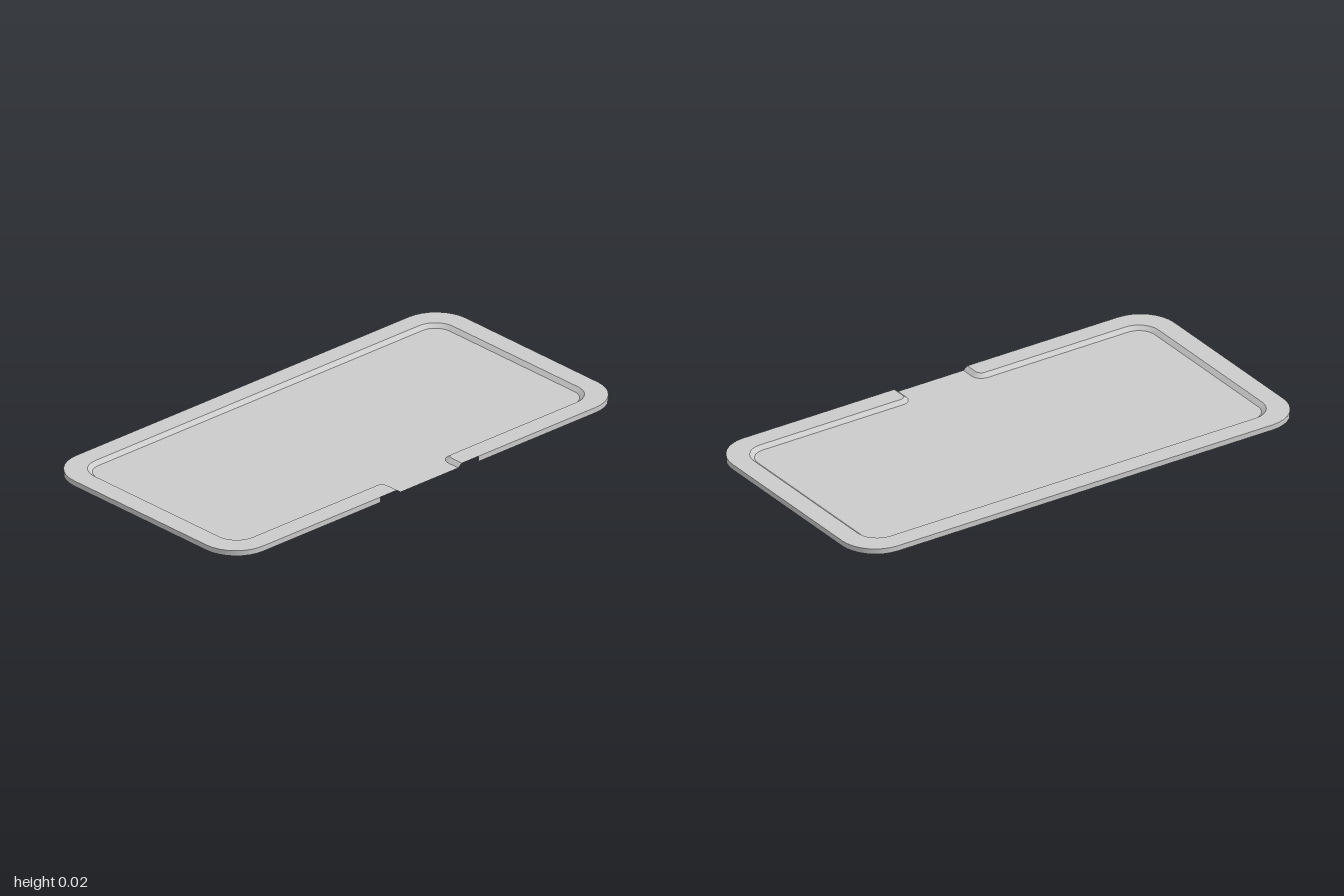
import * as THREE from 'three';

const W = 0.515, L = 1;            // half width and half length of the tray
const TOP = 0.022, FLOOR = 0.008;  // heights of rim and recessed floor
const material = new THREE.MeshStandardMaterial({ color: 0xcccccc, side: THREE.DoubleSide });

// Rounds the corners [x, y, radius] of an open path; every corner gives 9 points
function roundedPath(corners) {
  const points = [];
  corners.forEach(([x, y, r], i) => {
    const p = new THREE.Vector2(x, y);
    if (!r) return points.push(p);
    const toward = ([a, b]) => new THREE.Vector2(a - x, b - y).normalize();
    const u = toward(corners[i - 1]), v = toward(corners[i + 1]);
    for (let k = 0; k <= 8; k++) {
      const a = (k / 8) * Math.PI / 2;
      points.push(p.clone()
        .addScaledVector(u, r * (1 - Math.sin(a)))
        .addScaledVector(v, r * (1 - Math.cos(a))));
    }
  });
  return points;
}

// Outer outline, open on the +x side between y = -gap and y = gap
const outerPath = (gap) => roundedPath([
  [W, gap, 0], [W, L, 0.15], [-W, L, 0.15], [-W, -L, 0.15], [W, -L, 0.15], [W, -gap, 0],
]);

// Outline of the recess with its side outlet, shrunk by d
function recessPath(d) {
  const x = 0.435 - d, y = 0.918 - d, n = 0.166 - d, r = 0.09 - d, lip = 0.025 + d;
  return roundedPath([
    [W, n, 0], [x, n, lip], [x, y, r], [-x, y, r], [-x, -y, r], [x, -y, r], [x, -n, lip], [W, -n, 0],
  ]);
}

// Horizontal sheet bounded by a plan outline
function sheet(points, height) {
  return new THREE.ShapeGeometry(new THREE.Shape(points)).rotateX(-Math.PI / 2).translate(0, height, 0);
}

// Band joining two paths at two heights
function band(a, ya, b, yb) {
  const pos = [], index = [];
  a.forEach((p, i) => {
    pos.push(p.x, ya, -p.y, b[i].x, yb, -b[i].y);
    if (i) {
      const k = 2 * i;
      index.push(k - 2, k, k + 1, k - 2, k + 1, k - 1);
    }
  });
  const g = new THREE.BufferGeometry();
  g.setAttribute('position', new THREE.Float32BufferAttribute(pos, 3));
  g.setIndex(index);
  g.computeVertexNormals();
  return g;
}

export function createModel() {
  const group = new THREE.Group();
  group.name = 'tray';
  const add = (name, geometry) => {
    const mesh = new THREE.Mesh(geometry, material);
    mesh.name = name;
    group.add(mesh);
  };
  const upper = recessPath(0), lower = recessPath(0.018), skirt = outerPath(0.25);

  // Flat rim around the recess
  add('rim', sheet([...outerPath(0.166), ...upper.slice(1, -1).reverse()], TOP));
  // Sloping wall down to the floor
  add('recessWall', band(upper, TOP, lower, FLOOR));
  // Recessed floor running out through the side outlet
  add('floor', sheet(lower, FLOOR));
  // Outer skirt, cut away around the outlet
  add('skirt', band(skirt, 0, skirt, TOP));
  return group;
}
